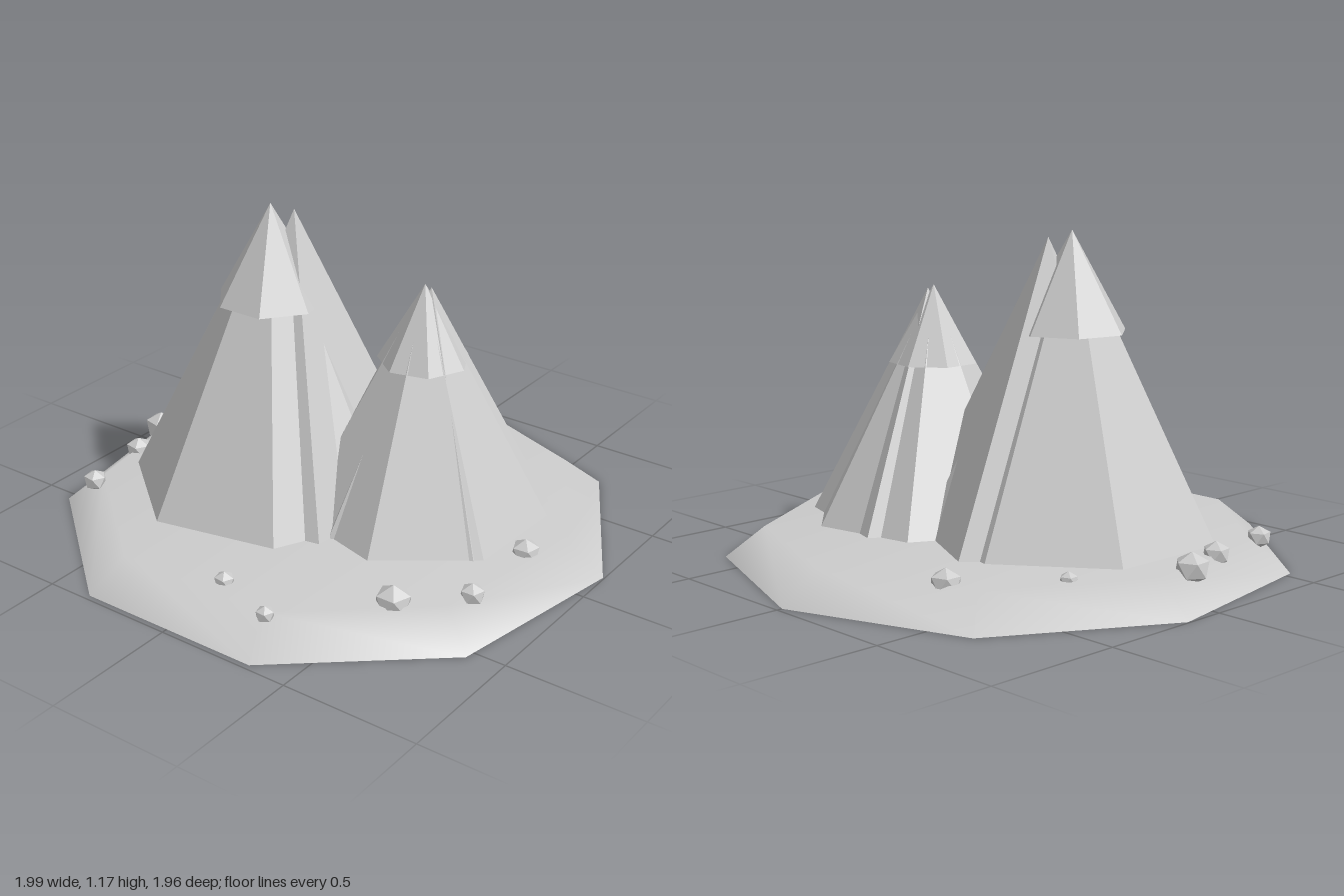
import * as THREE from 'three';

const GROUND = 0.11;
const stone = new THREE.MeshStandardMaterial({ color: 0xcccccc });
stone.name = 'pale grey stone';

function add(parent, geometry, name, x = 0, y = 0, z = 0) {
  const mesh = new THREE.Mesh(geometry, stone);
  mesh.name = name;
  mesh.position.set(x, y, z);
  parent.add(mesh);
  return mesh;
}

// Faceted cone; corner is the angle of one base corner in degrees, from +x towards +z
function peak(parent, name, x, z, radius, bottom, top, sides, corner) {
  const start = THREE.MathUtils.degToRad(90 - corner);
  const geometry = new THREE.ConeGeometry(radius, top - bottom, sides, 1, false, start).toNonIndexed();
  geometry.computeVertexNormals();
  return add(parent, geometry, name, x, (top + bottom) / 2, z);
}

export function createModel() {
  const model = new THREE.Group();
  model.name = 'mountains';

  // Nine-sided island with a softly shaded rim and a flat underside
  const island = new THREE.Group();
  island.name = 'island';
  model.add(island);
  const profile = [[1.01, 0], [0.87, GROUND], [0, GROUND]].map(p => new THREE.Vector2(...p));
  add(island, new THREE.LatheGeometry(profile, 9, Math.PI), 'ground', 0, 0, 0.03);
  const underside = add(island, new THREE.CircleGeometry(1.01, 9, Math.PI / 2), 'underside', 0, 0, 0.03);
  underside.rotation.x = Math.PI / 2;
  underside.geometry.rotateZ(Math.PI);

  // Tall mountain: two overlapping cones and a cap
  const tall = new THREE.Group();
  tall.name = 'tallMountain';
  model.add(tall);
  peak(tall, 'mainPeak', -0.24, 0.1, 0.525, GROUND, 1.165, 7, 1);
  peak(tall, 'sidePeak', -0.18, 0.045, 0.51, GROUND, 1.145, 5, 44);
  peak(tall, 'cap', -0.24, 0.1, 0.2, 0.82, 1.17, 7, 270);

  // Short mountain, built the same way
  const short = new THREE.Group();
  short.name = 'shortMountain';
  model.add(short);
  peak(short, 'mainPeak', 0.3, -0.055, 0.452, GROUND, 0.945, 7, 28);
  peak(short, 'sidePeak', 0.317, -0.068, 0.435, GROUND, 0.938, 5, -37);
  peak(short, 'cap', 0.3, -0.055, 0.163, 0.67, 0.95, 7, -1);

  // Scattered boulders: x, z, radius
  const boulders = new THREE.Group();
  boulders.name = 'boulders';
  model.add(boulders);
  const boulderGeometry = new THREE.IcosahedronGeometry(1, 0);
  boulderGeometry.rotateZ(-Math.atan(2 / (1 + Math.sqrt(5))));
  [
    [-0.42, -0.65, 0.055], [-0.67, -0.35, 0.033], [-0.85, 0.04, 0.063],
    [-0.79, 0.235, 0.05], [-0.75, 0.515, 0.045], [0.075, 0.77, 0.038],
    [0.31, 0.85, 0.034], [0.595, 0.54, 0.066], [0.78, 0.355, 0.045], [0.78, 0.02, 0.053],
  ].forEach(([x, z, r], i) => {
    const boulder = add(boulders, boulderGeometry, 'boulder', x, GROUND, z);
    boulder.scale.set(r, r * 0.88, r);
    boulder.rotation.y = i * 1.3;
  });

  return model;
}
